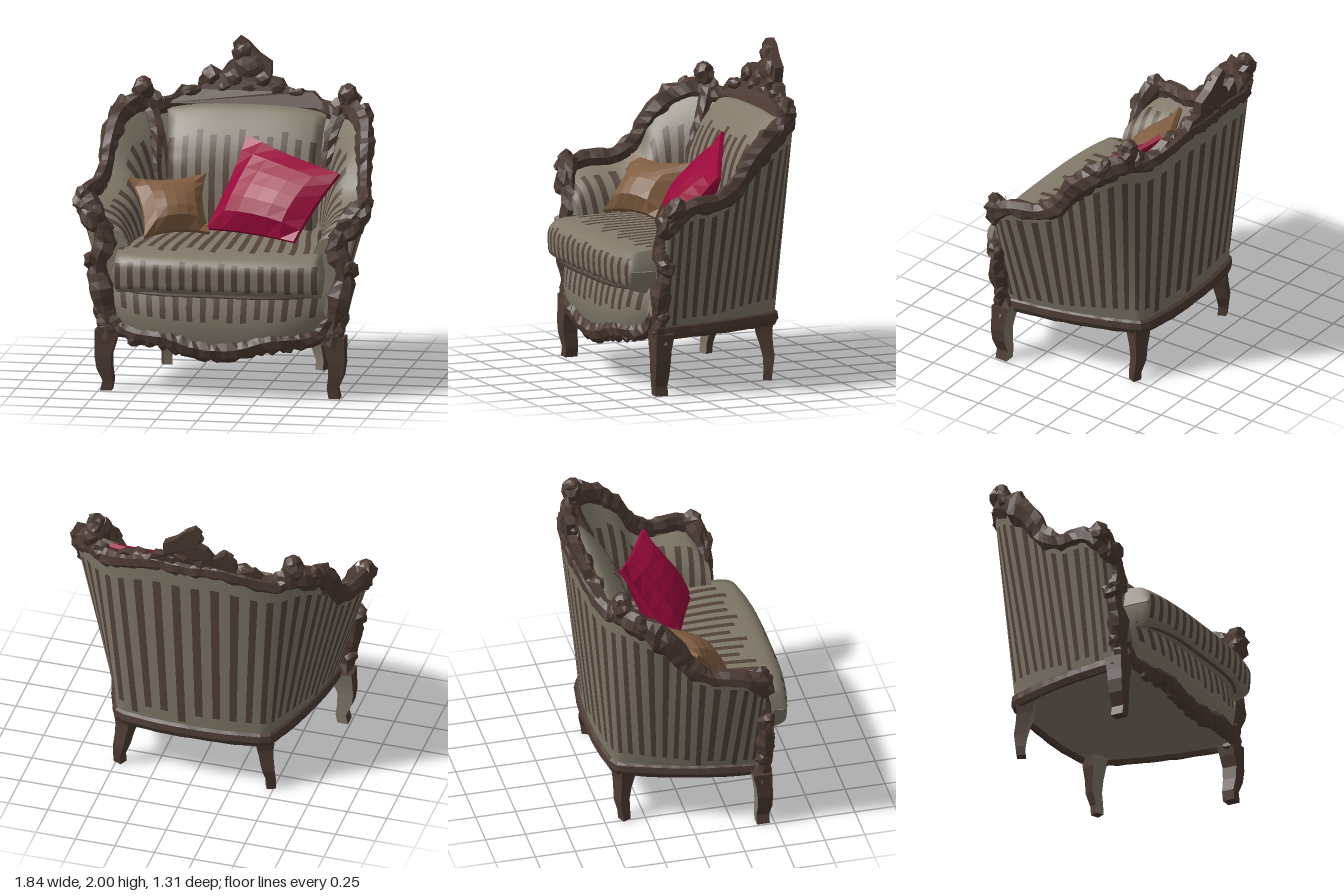
import * as THREE from 'three';

const mat = (name, color, extra) => Object.assign(new THREE.MeshStandardMaterial({ color, ...extra }), { name });
const V = (x, y, z) => new THREE.Vector3(x, y, z);
const lerp = THREE.MathUtils.lerp;

export function createModel() {
  const chair = new THREE.Group();
  chair.name = 'armchair';
  const wood = mat('dark carved wood', 0x4d3b33, { flatShading: true });
  const fabric = mat('grey beige fabric', 0x817969, { side: THREE.DoubleSide });
  const stripe = mat('brown stripe', 0x55433b, { side: THREE.DoubleSide });
  const crimson = mat('crimson cloth', 0x98083a, { flatShading: true });
  const tan = mat('tan cloth', 0x805d41, { flatShading: true });

  let seed = 7;
  const rand = () => (seed = (seed * 16807) % 2147483647) / 2147483647;

  const add = (name, geo, material, both = false) => {
    const mesh = new THREE.Mesh(geo, material);
    mesh.name = name;
    chair.add(mesh);
    if (both) {
      const twin = mesh.clone();
      twin.scale.x = -1;
      mesh.name = name + 'Left';
      twin.name = name + 'Right';
      chair.add(twin);
    }
    return mesh;
  };
  const warp = (geo, fn) => {
    const p = geo.attributes.position, v = V(0, 0, 0);
    for (let i = 0; i < p.count; i++) {
      const q = fn(v.fromBufferAttribute(p, i), i);
      p.setXYZ(i, q.x, q.y, q.z);
    }
    geo.computeVertexNormals();
    return geo;
  };
  const carve = v => Math.sin(71 * v.x + 23 * v.z) * Math.sin(67 * v.y + 31 * v.x) + 0.6 * Math.sin(59 * v.z + 29 * v.y);

  // Carved moulding: a chiselled tube of varying radius, flattened along a direction
  const forward = () => V(0, 0, 1);
  const outward = tangent => tangent.cross(V(0, 1, 0)).normalize();
  const moulding = (name, pts, r, segs, amp, flat, flatDir = forward, both = false) => {
    const path = new THREE.CatmullRomCurve3(pts), sides = 7;
    const geo = warp(new THREE.TubeGeometry(path, segs, 1, sides), (v, i) => {
      const t = Math.floor(i / (sides + 1)) / segs, c = path.getPointAt(t);
      const d = v.clone().sub(c).multiplyScalar(r(t)), n = flatDir(path.getTangentAt(t));
      d.addScaledVector(n, (flat - 1) * d.dot(n));
      const q = c.clone().add(d);
      return c.add(d.multiplyScalar(1 + amp * carve(q)));
    });
    return add(name, geo, wood, both);
  };
  // Carved knob
  const knob = (name, x, y, z, sx, sy, sz, both = false) =>
    add(name, warp(new THREE.IcosahedronGeometry(1, 1), v => {
      const q = V(x + v.x * sx, y + v.y * sy, z + v.z * sz), k = 1 + 0.25 * carve(q);
      return V(x + v.x * sx * k, y + v.y * sy * k, z + v.z * sz * k);
    }), wood, both);

  // Upholstery: a surface S(u, v) whose odd columns are stripes where mask allows
  const panel = (name, S, stripes, nv, mask, flip = false, both = false) => {
    const cols = 2 * stripes + 1, pos = [], plain = [], dark = [];
    for (let i = 0; i <= cols; i++) {
      const e = i === 0 ? -1 : i === cols ? 1 : ((i + (i % 2 ? 0.06 : -0.06)) / cols) * 2 - 1;
      for (let j = 0; j <= nv; j++) pos.push(...S(e, j / nv).toArray());
    }
    for (let i = 0; i < cols; i++) for (let j = 0; j < nv; j++) {
      const a = i * (nv + 1) + j, b = a + nv + 1;
      const on = i % 2 && mask(((i + 0.5) / cols) * 2 - 1, (j + 0.5) / nv + 0.016 * Math.sin(i * 5.3));
      (on ? dark : plain).push(...(flip ? [a, b + 1, b, a, a + 1, b + 1] : [a, b, b + 1, a, b + 1, a + 1]));
    }
    const geo = new THREE.BufferGeometry();
    geo.setAttribute('position', new THREE.Float32BufferAttribute(pos, 3));
    geo.setIndex([...plain, ...dark]);
    geo.addGroup(0, plain.length, 0);
    geo.addGroup(plain.length, dark.length, 1);
    geo.computeVertexNormals();
    return add(name, geo, [fabric, stripe], both);
  };

  // Guide curves running from the right arm round the back to the left arm
  const mirrored = half => [...half.slice(1).reverse().map(p => V(-p.x, p.y, p.z)), ...half];
  const railHalf = [[0, 1.65, -.58], [.2, 1.655, -.57], [.4, 1.61, -.54], [.55, 1.575, -.475], [.67, 1.6, -.4], [.755, 1.54, -.28],
    [.785, 1.43, -.15], [.8, 1.27, -.04], [.825, 1.19, .1], [.865, 1.18, .26], [.865, 1.14, .36], [.8, 1.03, .43]].map(p => V(...p));
  const baseHalf = [[0, -.475], [.18, -.47], [.34, -.45], [.47, -.42], [.51, -.33], [.55, -.22], [.58, -.12], [.61, -.01],
    [.635, .1], [.655, .22], [.67, .33], [.68, .42]].map(p => V(p[0], .38, p[1]));
  const seatHalf = [[0, -.36], [.18, -.36], [.34, -.34], [.45, -.3], [.48, -.25], [.5, -.18], [.51, -.1], [.52, 0],
    [.53, .1], [.54, .22], [.54, .33], [.55, .43]].map(p => V(p[0], .8, p[1]));
  const curve = half => new THREE.CatmullRomCurve3(mirrored(half));
  const base = curve(baseHalf), seat = curve(seatHalf);
  const railOut = curve(railHalf.map(p => V(p.x * 1.03, p.y, p.z - (p.z < -.2 ? .03 : 0))));
  const railIn = curve(railHalf.map(p => V(p.x * .95, p.y - .04, p.z + (p.z < -.1 ? .03 : 0))));
  const at = (c, u) => c.getPoint((u + 1) / 2);
  const outer = (u, v) => at(base, u).lerp(at(railOut, u), v);
  const inner = (u, v) => {
    const p = at(seat, u).lerp(at(railIn, u), v), k = Math.sin(Math.PI * v);
    p.x *= 1 - .07 * k;
    p.y += .07 * k;
    return p;
  };
  panel('outerUpholstery', outer, 36, 20, (u, v) => v > .09 && v < .9, true);
  panel('innerUpholstery', inner, 30, 16, (u, v) => v > .1 && v < .78);
  panel('armFront', (u, v) => inner(1, v).lerp(outer(1, v), (u + 1) / 2), 1, 6, () => false, false, true);

  // Underside
  const floor = new THREE.Shape([...mirrored(baseHalf), V(.64, 0, .47), V(.5, 0, .53), V(.3, 0, .56), V(0, 0, .57),
    V(-.3, 0, .56), V(-.5, 0, .53), V(-.64, 0, .47)].map(p => new THREE.Vector2(p.x, p.z)));
  add('underside', new THREE.ShapeGeometry(floor).rotateX(Math.PI / 2).translate(0, .36, 0), fabric);

  // Front panel under the seat cushion
  panel('seatFront', (u, v) => V(u * (.62 + .04 * v), lerp(.29 + .1 * u * u, .65, v),
    .565 - .11 * u ** 4 + .03 * Math.sin(Math.PI * v)), 15, 16, (u, v) => v > .52 && Math.abs(u) < .95);

  // Seat cushion, wrapped round a side profile
  const seatProfile = new THREE.CatmullRomCurve3([[.9, -.3], [.9, .2], [.89, .5], [.87, .6], [.82, .65], [.73, .655], [.67, .64],
    [.635, .55], [.63, .1], [.63, -.3]].map(p => V(0, ...p)));
  panel('seatCushion', (u, v) => {
    const p = seatProfile.getPoint(v), a = Math.abs(u);
    const w = lerp(.53, .645, THREE.MathUtils.smoothstep(p.z, -.3, .5));
    p.x = Math.sign(u) * w * Math.min(1, a / .965);
    if (a > .999) p.y = lerp(p.y, .77, .98);
    if (p.z > .3) p.z -= .06 * a ** 3 * (p.z - .3) / .35;
    p.y -= .012 * a ** 4;
    return p;
  }, 16, 54, (u, v) => v < .205 || (v > .41 && v < .66), true);
  const piping = new THREE.CatmullRomCurve3([V(-.63, .645, .5), V(-.4, .64, .6), V(0, .64, .62), V(.4, .64, .6), V(.63, .645, .5)]);
  add('cushionPiping', new THREE.TubeGeometry(piping, 16, .011, 5), stripe);

  // Back cushion
  const backProfile = new THREE.CatmullRomCurve3([[1.5, -.53], [1.59, -.51], [1.61, -.46], [1.54, -.37], [1.38, -.26], [1.15, -.2],
    [.88, -.18]].map(p => V(0, ...p)));
  panel('backCushion', (u, v) => {
    const p = backProfile.getPoint(v), a = Math.abs(u);
    p.x = Math.sign(u) * (.5 - .03 * v) * Math.min(1, a / .96);
    p.z -= .05 * a ** 4 * v;
    if (a > .999) p.z = lerp(p.z, -.46, .9);
    if (p.y > 1.3) p.y -= .05 * a ** 3;
    return p;
  }, 11, 30, (u, v) => v > .59, true);

  // Wooden frame
  moulding('topRail', mirrored(railHalf), t => .06 + .027 * Math.exp(-(((Math.abs(2 * t - 1) - .5) / .13) ** 2)), 90, .16, .72, outward);
  moulding('baseRail', mirrored(baseHalf), () => .048, 50, .06, .6, outward);
  moulding('frontPost', [[.69, .33, .43], [.71, .48, .44], [.735, .62, .44], [.765, .77, .43], [.715, .92, .42], [.76, 1.05, .42],
    [.85, 1.17, .38]].map(p => V(...p)), t => .068 + .012 * Math.cos(t * 19), 18, .16, .75, forward, true);
  moulding('apron', mirrored([[0, .285, .575], [.15, .3, .57], [.32, .35, .555], [.5, .365, .52], [.6, .4, .48], [.67, .5, .46]]
    .map(p => V(...p))), t => .044 + .014 * Math.sin(t * Math.PI), 44, .24, .7);
  moulding('wingScroll', [V(.6, 1.6, -.44), V(.545, 1.45, -.38), V(.53, 1.28, -.31), V(.51, 1.1, -.25)],
    t => .06 - .042 * t, 10, .22, .9, forward, true);

  // Carved knobs on the corners, arms and posts
  [['cornerCrown', .64, 1.68, -.43, .07, .08, .055], ['cornerLeaf', .74, 1.6, -.34, .06, .06, .05], ['cornerBud', .58, 1.6, -.47, .065, .065, .045],
    ['cornerTip', .625, 1.735, -.44, .045, .035, .045], ['armScroll', .865, 1.17, .38, .055, .07, .07], ['armLeaf', .79, 1.06, .43, .075, .09, .05],
    ['postBud', .8, .8, .43, .055, .06, .05], ['kneeBud', .74, .48, .43, .045, .05, .05], ['kneeLeaf', .69, .37, .44, .075, .06, .045]]
    .forEach(k => knob(...k, true));
  for (let i = -6; i <= 6; i++) {
    const a = Math.abs(i) / 6;
    knob('apronLeaf', i * .085, .25 + .09 * a + .02 * rand(), .565 - .05 * a ** 3, .045, .03 + .02 * rand(), .03);
  }

  // Crest on the back, bent and leaned to follow the rail
  const bend = x => .34 * x * x;
  const outline = [[-.5, -.02], [-.42, .08], [-.32, .06], [-.31, .13], [-.25, .2], [-.18, .16], [-.14, .22], [-.09, .25], [-.11, .34],
    [-.07, .38], [-.02, .35], [.05, .28], [.13, .23], [.13, .14], [.2, .13], [.24, .06], [.4, .07], [.5, -.02]].map(p => new THREE.Vector2(...p));
  add('crest', warp(new THREE.ExtrudeGeometry(new THREE.Shape(outline), { depth: .055, bevelEnabled: false }),
    v => V(v.x, 1.62 + v.y, v.z - .612 - .11 * v.y + bend(v.x))), wood);
  [[0, 1.8, .09, .08], [-.05, 1.91, .055, .06], [.08, 1.74, .07, .06], [-.1, 1.74, .07, .06], [-.24, 1.75, .055, .06],
    [.18, 1.69, .06, .05], [-.16, 1.69, .06, .05], [0, 1.68, .09, .06], [.3, 1.67, .07, .04], [-.35, 1.67, .07, .04]]
    .forEach(([x, y, sx, sy]) => knob('crestCarving', x, y, -.562 - (y - 1.65) * .13 + bend(x), sx, sy, .04));

  // Legs: rows of [y, centre x, half width, centre z, half depth], turned by yaw
  const leg = (name, rows, yaw, materials) => {
    const c = Math.cos(yaw), s = Math.sin(yaw);
    const geo = warp(new THREE.BoxGeometry(2, 1, 2, 1, 5, 1), v => {
      const [y, cx, hx, cz, hz] = rows[Math.round((v.y + .5) * 5)];
      return V(cx + (v.x * c - v.z * s) * hx, y, cz + (v.x * s + v.z * c) * hz);
    });
    add(name, geo, materials, true);
  };
  leg('frontLeg', [[0, .705, .034, .43, .04], [.06, .692, .032, .43, .04], [.14, .715, .045, .435, .045], [.22, .722, .05, .435, .048],
    [.29, .71, .06, .43, .05], [.38, .7, .07, .42, .06]], 0, [wood, wood, wood, wood, wood, fabric]);
  leg('backLeg', [[0, .477, .028, -.375, .027], [.06, .48, .028, -.38, .028], [.14, .462, .038, -.39, .035], [.22, .448, .042, -.38, .04],
    [.29, .435, .05, -.37, .05], [.38, .44, .055, -.37, .06]], .42, [wood, wood, wood, wood, fabric, wood]);

  // Scatter pillows: corners in the order bottom left, bottom right, top right, top left
  const pillow = (name, corners, thick, pinch, material) => {
    const [bl, br, tr, tl] = corners.map(p => V(...p));
    const n = br.clone().sub(tl).cross(tr.clone().sub(bl)).normalize();
    add(name, warp(new THREE.BoxGeometry(2, 2, 2, 6, 6, 1), v => {
      const a = v.x * (1 - pinch * (1 - v.y ** 2)), b = v.y * (1 - pinch * (1 - v.x ** 2));
      const h = .014 + thick * (1 - .35 * v.y) * Math.max(0, (1 - v.x ** 2) * (1 - v.y ** 2)) ** .6;
      const p = bl.clone().lerp(br, (a + 1) / 2).lerp(tl.clone().lerp(tr, (a + 1) / 2), (b + 1) / 2);
      return p.addScaledVector(n, v.z * h);
    }), material);
  };
  pillow('crimsonPillow', [[-.16, .93, .02], [.42, .915, .25], [.66, 1.3, .02], [.04, 1.46, -.27]], .11, .05, crimson);
  pillow('tanPillow', [[-.5, .92, .29], [-.13, .92, .1], [-.2, 1.23, -.18], [-.64, 1.23, .04]], .1, .16, tan);

  return chair;
}
